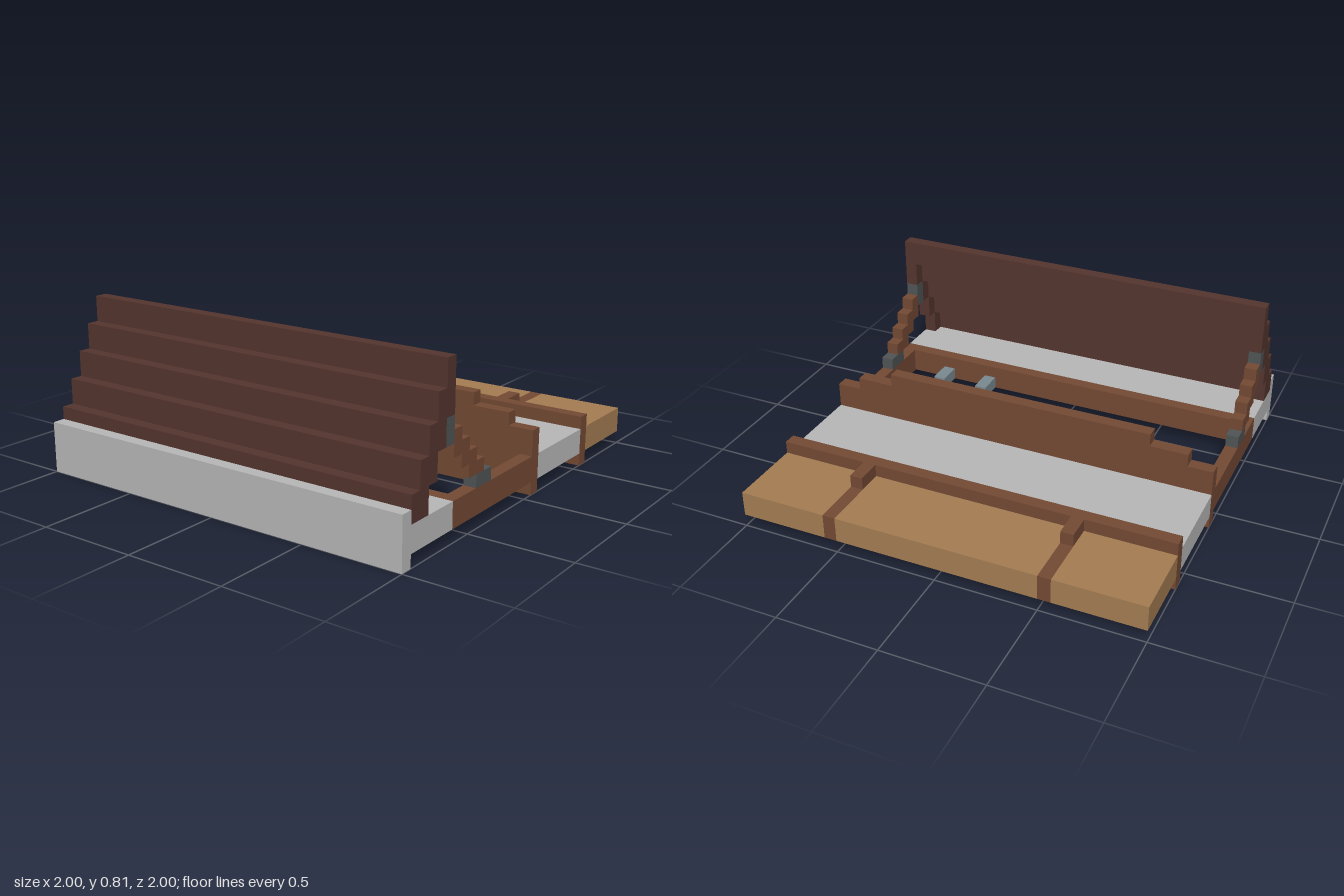
import * as THREE from 'three';

const U = 1 / 16; // block unit

const mat = (name, color) => {
  const m = new THREE.MeshStandardMaterial({ color });
  m.name = name;
  return m;
};

export function createModel() {
  const model = new THREE.Group();
  model.name = 'blockStructure';

  const stone = mat('light stone', 0xb8b8b8);
  const darkWood = mat('dark wood', 0x54352e);
  const wood = mat('brown wood', 0x744a34);
  const plank = mat('tan plank', 0xa47c52);
  const iron = mat('dark iron', 0x505454);
  const steel = mat('blue grey steel', 0x7a8a92);

  // Box given by its limits in block units
  const block = (name, material, x0, x1, y0, y1, z0, z1) => {
    const mesh = new THREE.Mesh(
      new THREE.BoxGeometry((x1 - x0) * U, (y1 - y0) * U, (z1 - z0) * U), material);
    mesh.position.set((x0 + x1) / 2 * U, (y0 + y1) / 2 * U, (z0 + z1) / 2 * U);
    mesh.name = name;
    model.add(mesh);
  };
  // The same box at both ends of the model
  const ends = (name, material, ...yz) => {
    block(name + 'Right', material, -16, -15, ...yz);
    block(name + 'Left', material, 15, 16, ...yz);
  };

  // Stone slabs and front lip
  block('frontLip', stone, -16, 16, 0, 4, 15, 16);
  block('frontSlab', stone, -16, 16, 1, 3, 10, 15);
  block('rearSlab', stone, -16, 16, 1, 3, -9, -2);

  // Wooden frame around the opening
  block('frontBeam', wood, -16, 16, 1, 3, 9, 10);
  ends('sideRail', wood, 1, 3, -1, 9);

  // Stepped headboard behind the opening
  block('headboard', wood, -16, 16, 0, 5, -2, -1);
  block('headboardMiddle', wood, -14, 14, 5, 6, -2, -1);
  block('headboardTop', wood, -11, 11, 6, 7, -2, -1);

  // Rear beam
  block('rearBeam', wood, -16, 16, 0, 4, -10, -9);

  // Rear deck with inlaid straps and brackets
  for (const [x0, x1] of [[-16, -9], [-8, 8], [9, 16]]) {
    block('rearDeck', plank, x0, x1, 1, 3, -16, -10);
  }
  for (const x of [-9, 8]) {
    block('deckStrap', wood, x, x + 1, 1, 3, -16, -12);
    block('deckBracket', wood, x, x + 1, 0, 4, -12, -10);
  }

  // Leaning lid: overlapping boards, with end supports one step behind
  for (let i = 0; i < 5; i++) {
    const y = 3 + 2 * i, z = 14 - i;
    block('lidBoard', darkWood, -16, 16, y, y + 2, z, z + 1);
    if (i < 4) ends('lidSupport', darkWood, y, y + 2, z - 1, z);
  }

  // Hinged stays holding the lid
  ends('upperHinge', iron, 7, 9, 10, 11);
  for (const [y0, y1, z] of [[6, 8, 9], [5, 7, 8], [4, 6, 7], [4, 5, 6]]) {
    ends('stay', wood, y0, y1, z, z + 1);
  }
  ends('lowerHinge', iron, 3, 4, 5, 7);

  // Small hooks on the front beam
  for (const x of [7, 11]) {
    block('hookArm', steel, x, x + 1, 1, 2, 7, 9);
    block('hookTip', steel, x, x + 1, 0, 1, 7, 8);
  }

  return model;
}
